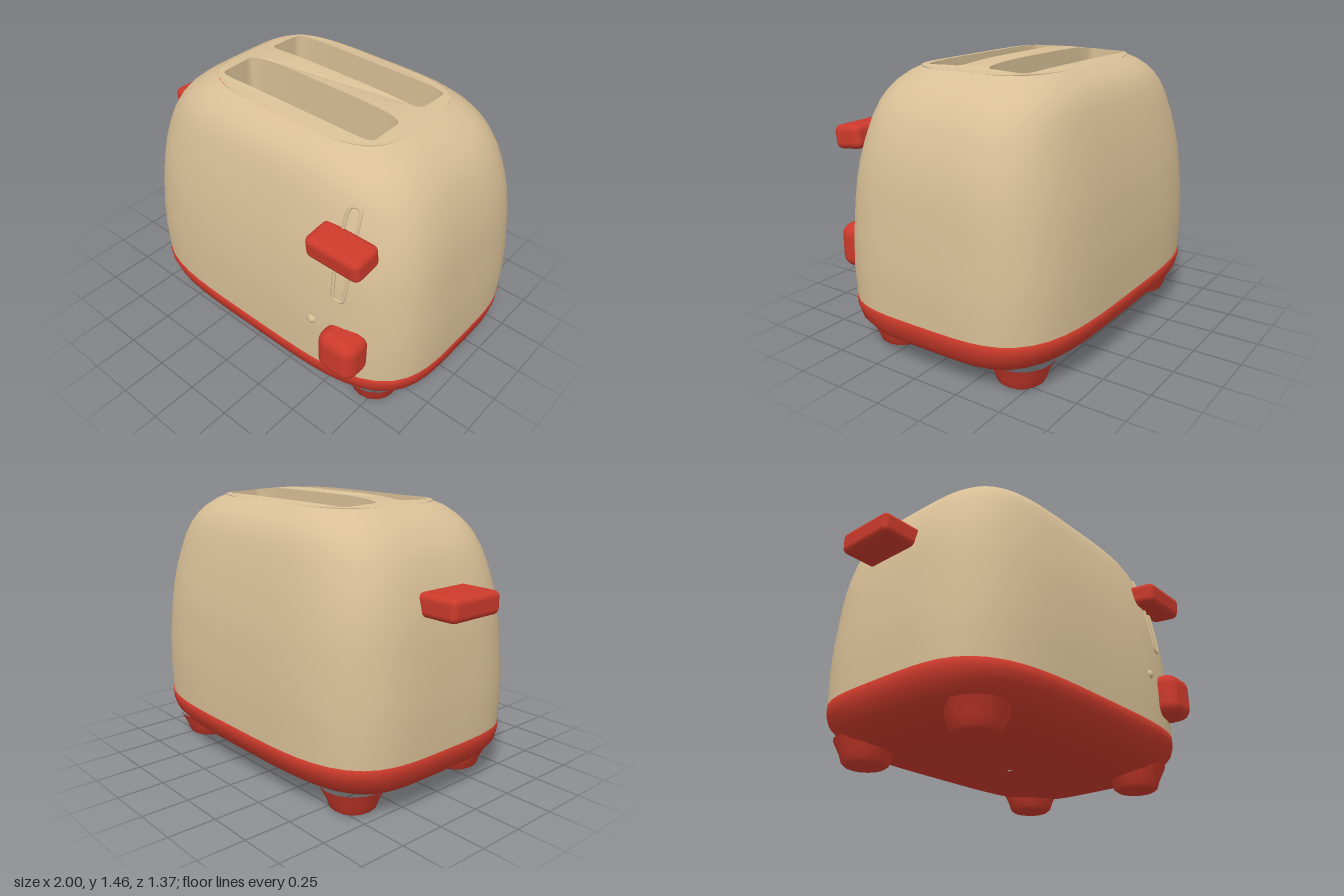
import * as THREE from 'three';
import { RoundedBoxGeometry } from 'three/addons/geometries/RoundedBoxGeometry.js';

const CX = 0.07, CZ = -0.035, SIDES = 72;

// Rounded rectangle outline (superellipse) at height y
function ring(cx, cz, hx, hz, n, y) {
  const pts = [];
  for (let i = 0; i < SIDES; i++) {
    const t = (i / SIDES) * Math.PI * 2, c = Math.cos(t), s = Math.sin(t);
    const r = Math.pow(Math.abs(c) ** n + Math.abs(s) ** n, -1 / n);
    pts.push(new THREE.Vector3(cx + hx * r * c, y, cz + hz * r * s));
  }
  return pts;
}

// Skin over closed rings; rising rings face outward, falling rings inward
function loft(rings) {
  const pos = [], idx = [];
  rings.forEach(r => r.forEach(p => pos.push(p.x, p.y, p.z)));
  for (let i = 0; i < rings.length - 1; i++) {
    for (let j = 0; j < SIDES; j++) {
      const k = (j + 1) % SIDES, a = i * SIDES + j, b = i * SIDES + k;
      idx.push(a, a + SIDES, b, b, a + SIDES, b + SIDES);
    }
  }
  const g = new THREE.BufferGeometry();
  g.setAttribute('position', new THREE.Float32BufferAttribute(pos, 3));
  g.setIndex(idx);
  g.computeVertexNormals();
  return g;
}

// Upward-facing plate from an outline with optional holes
function plate(outline, holes = []) {
  const flat = r => r.map(p => new THREE.Vector2(p.x, -p.z));
  const shape = new THREE.Shape(flat(outline));
  shape.holes = holes.map(h => new THREE.Path(flat(h)));
  return new THREE.ShapeGeometry(shape).rotateX(-Math.PI / 2);
}

// Shell profile: height, half width, half depth
const PROFILE = [
  [0.28, 0.923, 0.643], [0.45, 0.928, 0.648], [0.6, 0.922, 0.645],
  [0.8, 0.905, 0.63], [0.9, 0.895, 0.615], [1.0, 0.877, 0.598],
  [1.1, 0.848, 0.576], [1.2, 0.81, 0.55], [1.27, 0.765, 0.528],
  [1.32, 0.722, 0.503], [1.36, 0.675, 0.474], [1.4, 0.615, 0.428], [1.425, 0.56, 0.38],
];

// Gentle crown of the top
const crown = (x, z) => 1.425 + 0.033 *
  (1 - Math.min(1, ((x - CX) / 0.56) ** 4)) * (1 - Math.min(1, ((z - CZ) / 0.38) ** 2));

// z of the front surface of the shell
function frontZ(x, y) {
  let i = 0;
  while (i < PROFILE.length - 2 && PROFILE[i + 1][0] < y) i++;
  const a = PROFILE[i], b = PROFILE[i + 1], t = (y - a[0]) / (b[0] - a[0]);
  const hx = a[1] + (b[1] - a[1]) * t, hz = a[2] + (b[2] - a[2]) * t;
  return CZ + hz * Math.pow(1 - ((x - CX) / hx) ** 4, 0.25);
}

export function createModel() {
  const model = new THREE.Group();
  const cream = new THREE.MeshStandardMaterial({ color: 0xd8bf96 });
  cream.name = 'cream shell';
  const red = new THREE.MeshStandardMaterial({ color: 0xcc3a2b });
  red.name = 'red trim';

  function add(name, geometry, material, x = 0, y = 0, z = 0) {
    const m = new THREE.Mesh(geometry, material);
    m.name = name;
    m.position.set(x, y, z);
    model.add(m);
    return m;
  }

  // Shell
  const shellRings = PROFILE.map(([y, hx, hz]) => ring(CX, CZ, hx, hz, 4, y));
  add('shell', loft(shellRings), cream);

  // Bread slots: walls falling to a floor
  const slots = [-0.225, 0.14].map(z => ring(0.065, z, 0.485, 0.117, 10, 0));
  slots.forEach(s => {
    const rim = s.map(p => new THREE.Vector3(p.x, crown(p.x, p.z), p.z));
    const floor = s.map(p => new THREE.Vector3(p.x, 1.0, p.z));
    add('slotWall', loft([rim, floor]), cream);
    add('slotFloor', plate(s), cream, 0, 1.0, 0);
  });

  // Top with the two slot openings
  const top = plate(shellRings[shellRings.length - 1], slots);
  const p = top.attributes.position;
  for (let i = 0; i < p.count; i++) p.setY(i, crown(p.getX(i), p.getZ(i)));
  top.computeVertexNormals();
  add('top', top, cream);

  // Base tray, rounded underneath
  const baseRows = [
    [0.05, 0.01, 0.01], [0.055, 0.6, 0.36], [0.075, 0.74, 0.46], [0.1, 0.82, 0.53],
    [0.14, 0.875, 0.585], [0.19, 0.912, 0.63], [0.24, 0.922, 0.647], [0.282, 0.924, 0.648], [0.284, 0.9, 0.62],
  ];
  add('base', loft(baseRows.map(([y, hx, hz]) => ring(CX, CZ, hx, hz, 4, y))), red);

  // Feet
  const footProfile = [[0, 0], [0.1, 0], [0.12, 0.015], [0.135, 0.06], [0.17, 0.13]]
    .map(([x, y]) => new THREE.Vector2(x, y));
  for (const x of [-0.58, 0.71]) {
    for (const z of [-0.42, 0.335]) add('foot', new THREE.LatheGeometry(footProfile, 16), red, x, 0, z);
  }

  // Track of the front lever, a thin rounded rim on the shell
  const track = [];
  for (let i = 0; i < 40; i++) {
    const t = (i / 40) * Math.PI * 2, s = Math.sin(t);
    const x = 0.64 + 0.036 * Math.cos(t);
    const y = 0.995 + 0.036 * s + 0.21 * Math.sign(s) * Math.min(1, Math.abs(s) * 1.6);
    track.push(new THREE.Vector3(x, y, frontZ(x, y)));
  }
  add('leverTrack', new THREE.TubeGeometry(new THREE.CatmullRomCurve3(track, true), 80, 0.01, 6, true), cream);

  // Front lever, knob and indicator
  add('frontLever', new RoundedBoxGeometry(0.31, 0.125, 0.17, 3, 0.035), red, 0.655, 1.07, 0.573).rotation.x = 0.12;
  add('knob', new RoundedBoxGeometry(0.22, 0.24, 0.18, 4, 0.065), red, 0.695, 0.475, 0.595);
  add('indicator', new THREE.SphereGeometry(0.028, 12, 8), cream, 0.5, 0.56, frontZ(0.5, 0.56) - 0.012);

  // Side lever
  add('sideLever', new RoundedBoxGeometry(0.24, 0.115, 0.33, 3, 0.03), red, -0.88, 1.013, -0.047);

  return model;
}
